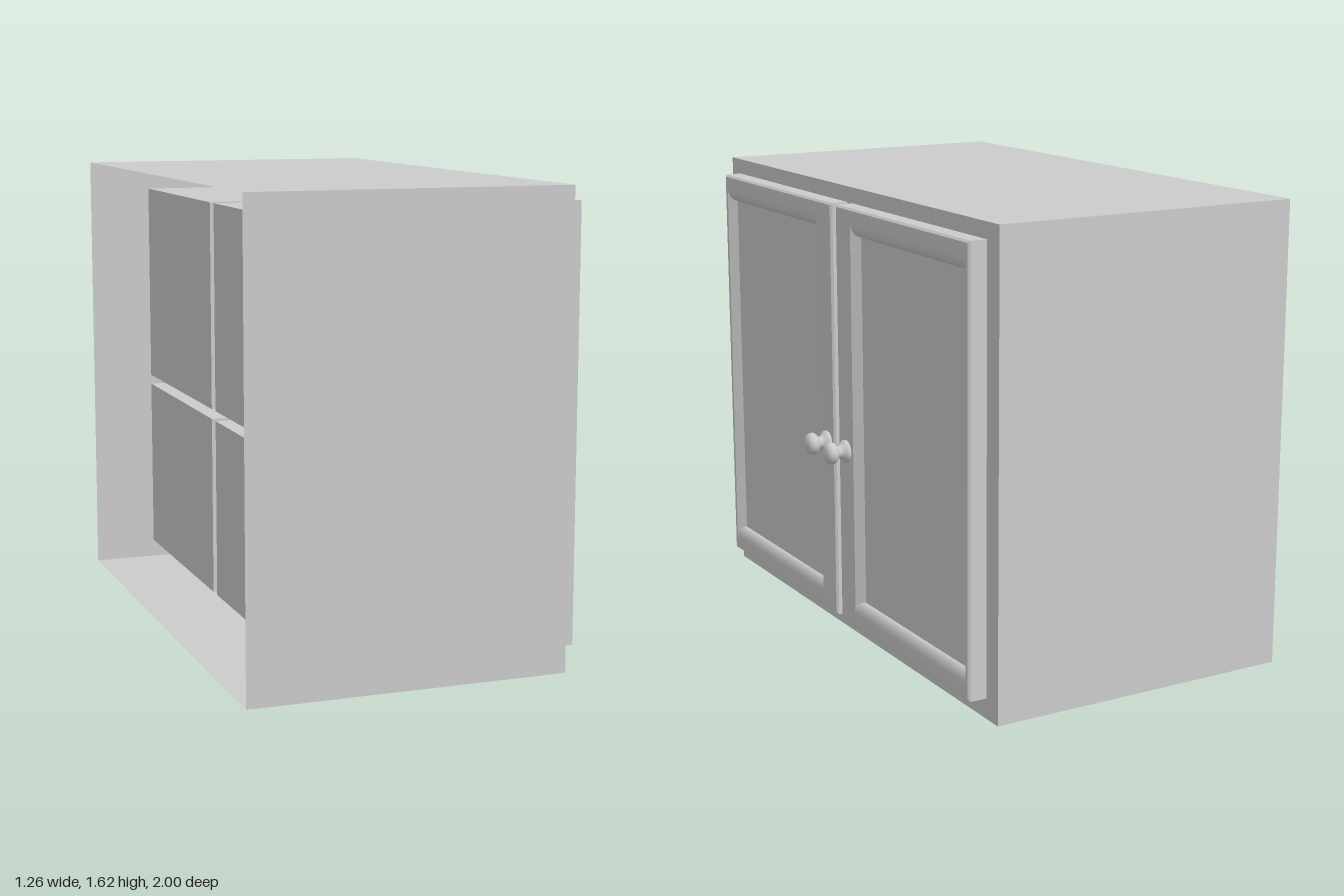
import * as THREE from 'three';
import { toCreasedNormals } from 'three/addons/utils/BufferGeometryUtils.js';

const solid = new THREE.MeshStandardMaterial({ color: 0xcccccc });
const thin = new THREE.MeshStandardMaterial({ color: 0xcccccc, side: THREE.DoubleSide });

const BACK = -0.635, FRONT = 0.48, HEIGHT = 1.62;

// Joins rectangles [x, y0, y1, z0, z1] in order, with optional end caps.
function loft(rings, capStart, capEnd) {
  const loops = rings.map(([x, y0, y1, z0, z1]) => [
    [x, y0, z0], [x, y1, z0], [x, y1, z1], [x, y0, z1],
  ]);
  const pos = [];
  const quad = (a, b, c, d) => pos.push(...a, ...b, ...c, ...a, ...c, ...d);
  for (let i = 0; i < loops.length - 1; i++) {
    const a = loops[i], b = loops[i + 1];
    for (let k = 0; k < 4; k++) {
      const n = (k + 1) % 4;
      quad(a[k], a[n], b[n], b[k]);
    }
  }
  if (capStart) quad(...[...loops[0]].reverse());
  if (capEnd) quad(...loops[loops.length - 1]);
  const geo = new THREE.BufferGeometry();
  geo.setAttribute('position', new THREE.Float32BufferAttribute(pos, 3));
  return toCreasedNormals(geo, 0.5);
}

function add(parent, name, geo, mat) {
  const mesh = new THREE.Mesh(geo, mat);
  mesh.name = name;
  parent.add(mesh);
  return mesh;
}

// Slab with chamfered front edge and a recessed panel with coved top and bottom
function doorGeometry(z0, z1) {
  const y0 = 0.07, y1 = 1.565, face = 0.545, c = 0.007, depth = 0.026;
  const inset = (x, dy, dz) => [x, y0 + dy, y1 - dy, z0 + dz, z1 - dz];
  const rings = [inset(FRONT, 0, 0), inset(face - c, 0, 0), inset(face, c, c)];
  // the stile beside the knob is wider than the one at the hinge
  const hinge = 0.022, knob = 0.112;
  const low = z0 > 0 ? knob : hinge, high = z0 > 0 ? hinge : knob;
  const steps = 6;
  for (let i = 0; i <= steps; i++) {
    const t = (i / steps) * Math.PI / 2;
    const drop = 1 - Math.cos(t);
    const dy = 0.048 + 0.048 * Math.sin(t), dz = 0.032 * drop;
    rings.push([face - depth * drop, y0 + dy, y1 - dy, z0 + low + dz, z1 - high - dz]);
  }
  return loft(rings, true, true);
}

// Turned knob: flared foot, narrow neck, domed head
function knobGeometry() {
  const profile = [
    [0.04, 0], [0.04, 0.008], [0.034, 0.014], [0.025, 0.022], [0.021, 0.031],
    [0.024, 0.039], [0.034, 0.046], [0.039, 0.054], [0.039, 0.064],
    [0.034, 0.075], [0.022, 0.082], [0, 0.085],
  ].map(([r, h]) => new THREE.Vector2(r, h));
  return new THREE.LatheGeometry(profile, 24).rotateZ(-Math.PI / 2);
}

export function createModel() {
  const group = new THREE.Group();
  group.name = 'cabinet';

  // Outer shell, open at the back
  add(group, 'shell', loft([[BACK, 0, HEIGHT, -1, 1], [FRONT, 0, HEIGHT, -1, 1]]), thin);

  // Face frame with four openings, each leading to a compartment
  const frame = new THREE.Shape([[-1, 0], [1, 0], [1, HEIGHT], [-1, HEIGHT]]
    .map(([x, y]) => new THREE.Vector2(x, y)));
  for (const [z0, z1] of [[-0.87, -0.023], [0.023, 0.87]]) {
    for (const [y0, y1] of [[0.1, 0.742], [0.778, 1.52]]) {
      frame.holes.push(new THREE.Path([[z0, y0], [z0, y1], [z1, y1], [z1, y0]]
        .map(([x, y]) => new THREE.Vector2(x, y))));
      add(group, 'compartment',
        loft([[-0.434, y0, y1, z0, z1], [FRONT, y0, y1, z0, z1]], true, false), thin);
    }
  }
  const frameGeo = new THREE.ShapeGeometry(frame).rotateY(Math.PI / 2).translate(FRONT, 0, 0);
  add(group, 'faceFrame', frameGeo, thin);

  // Pair of doors with knobs
  for (const side of [1, -1]) {
    const door = new THREE.Group();
    door.name = side > 0 ? 'leftDoor' : 'rightDoor';
    const [z0, z1] = side > 0 ? [0.017, 0.927] : [-0.927, -0.017];
    add(door, 'doorPanel', doorGeometry(z0, z1), solid);
    add(door, 'knob', knobGeometry(), solid).position.set(0.545, 0.705, side * 0.075);
    group.add(door);
  }
  return group;
}
